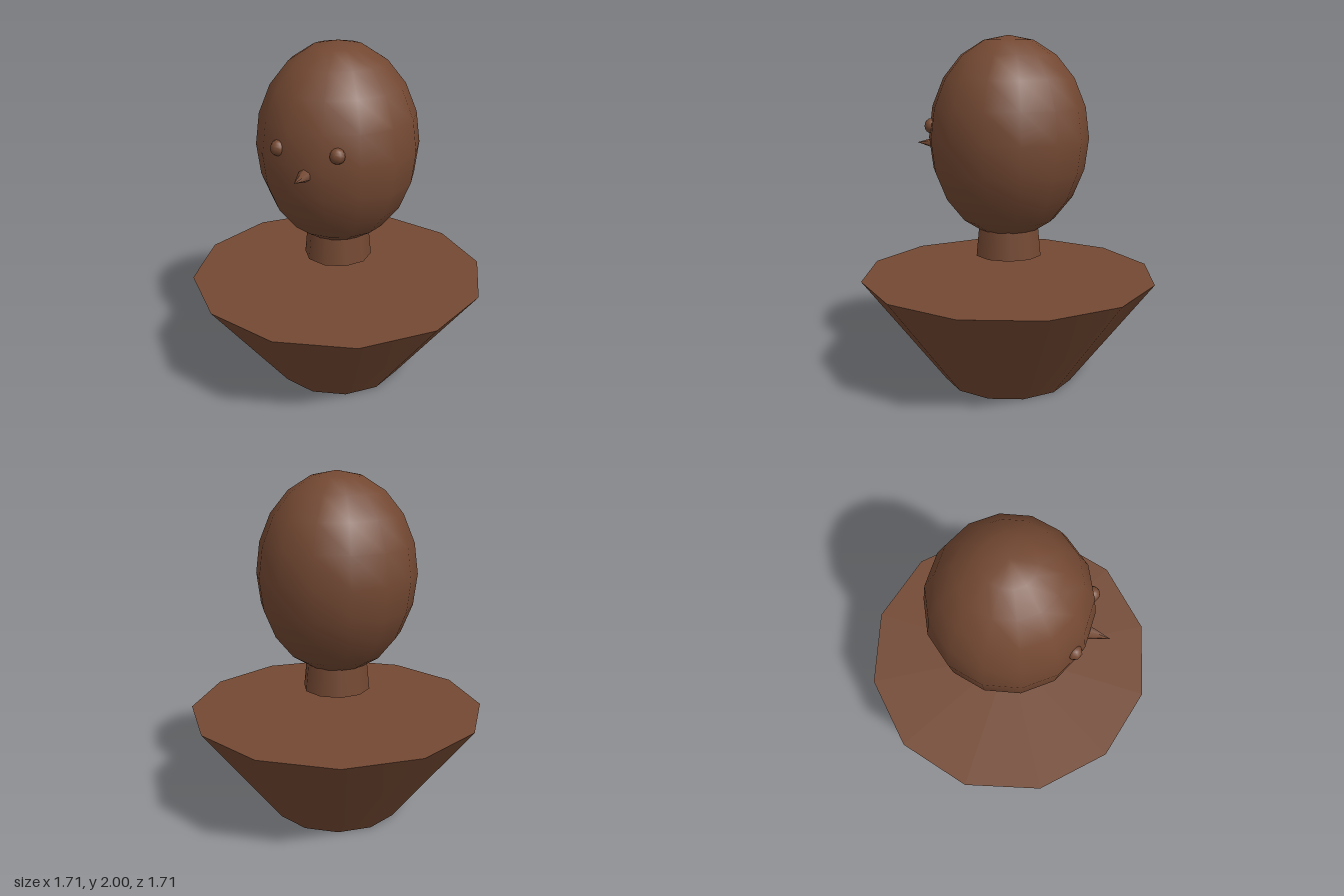
import * as THREE from 'three';

export function createModel() {
  const model = new THREE.Group();
  model.name = 'bust';
  const brown = new THREE.MeshStandardMaterial({ color: 0x734832 });
  brown.name = 'brown';

  const add = (name, geometry, x, y, z) => {
    const mesh = new THREE.Mesh(geometry, brown);
    mesh.name = name;
    mesh.position.set(x, y, z);
    model.add(mesh);
    return mesh;
  };

  // Torso: twelve-sided, narrowing to the base
  add('torso', new THREE.CylinderGeometry(0.857, 0.38, 0.63, 12), 0, 0.315, 0);

  // Neck: floats just above the torso and runs up into the head
  add('neck', new THREE.CylinderGeometry(0.167, 0.195, 0.286, 10), 0, 0.893, 0);

  // Head: egg-like stretched sphere
  add('head', new THREE.SphereGeometry(0.457, 14, 10), 0, 1.429, 0).scale.y = 1.25;

  // Eyes
  for (const [name, side] of [['leftEye', 1], ['rightEye', -1]]) {
    add(name, new THREE.SphereGeometry(0.043, 8, 8), side * 0.168, 1.5, 0.4);
  }

  // Nose: small six-sided cone pointing forward
  add('nose', new THREE.ConeGeometry(0.043, 0.143, 6), 0, 1.383, 0.49).rotation.x = Math.PI / 2;

  return model;
}
